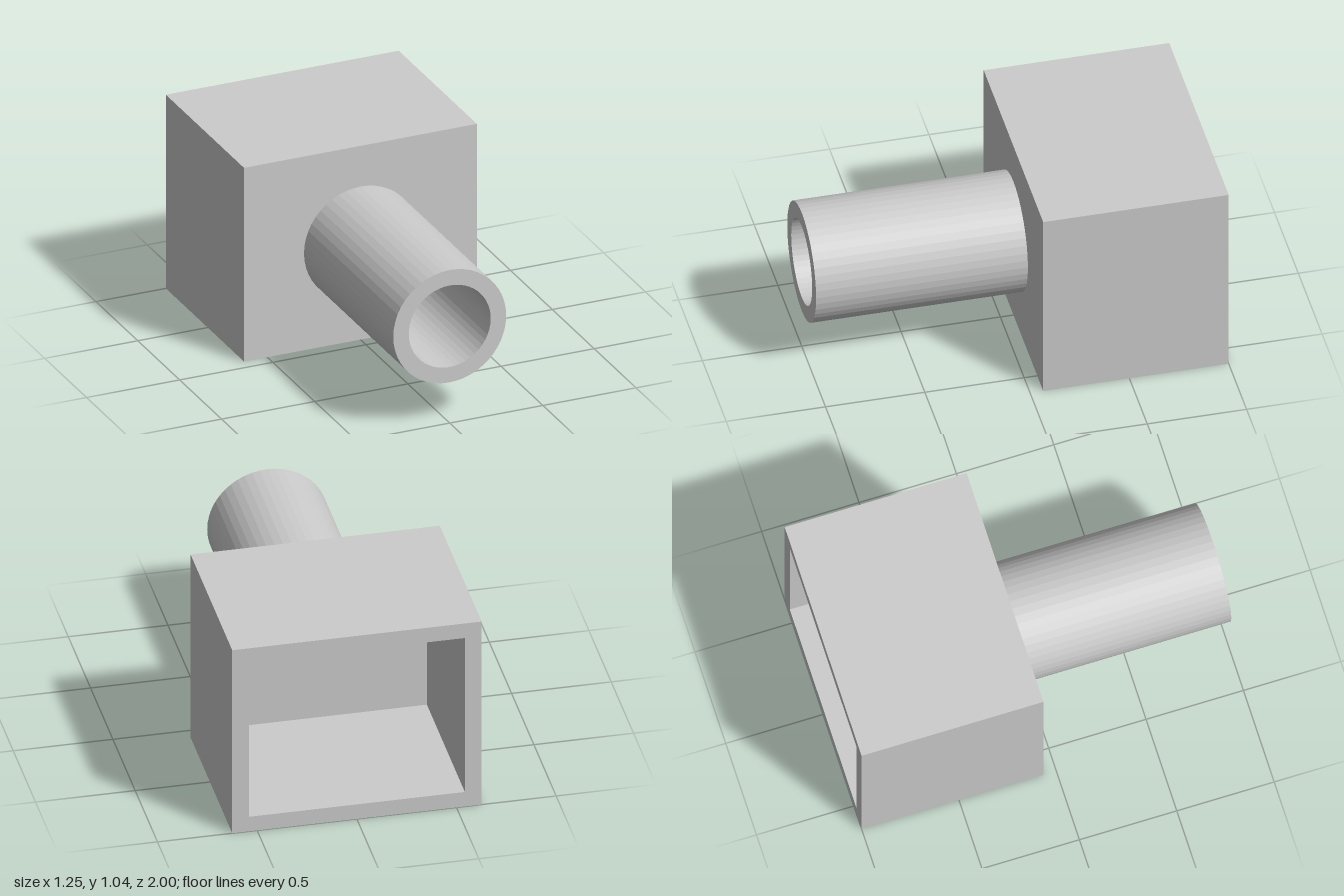
import * as THREE from 'three';

const WALL = 0.083;          // shared wall thickness
const W = 0.625, H = 0.5225; // half width and half height of the housing
const BACK = -1, FRONT = -0.066, TIP = 1;
const RADIUS = 0.303;

// Box open at the back: rectangles run along the outside, over the rim and into the cavity
function openBox() {
  const loops = [
    [W, H, FRONT], [W, H, BACK],
    [W - WALL, H - WALL, BACK], [W - WALL, H - WALL, FRONT - WALL],
  ];
  const positions = [], index = [];
  for (const [w, h, z] of loops) positions.push(w, h, z, -w, h, z, -w, -h, z, w, -h, z);
  const quad = (a, b, c, d) => index.push(a, b, c, a, c, d);
  quad(0, 1, 2, 3); // front face
  for (let i = 0; i < loops.length - 1; i++) {
    for (let k = 0; k < 4; k++) {
      const n = (k + 1) % 4, a = i * 4, b = a + 4;
      quad(a + k, b + k, b + n, a + n);
    }
  }
  quad(15, 14, 13, 12); // cavity floor
  const geometry = new THREE.BufferGeometry();
  geometry.setAttribute('position', new THREE.Float32BufferAttribute(positions, 3));
  geometry.setIndex(index);
  const flat = geometry.toNonIndexed();
  flat.computeVertexNormals();
  return flat;
}

// Hollow pipe: outer wall, end ring and bore
function pipe() {
  const inner = RADIUS - WALL;
  const profile = [[RADIUS, FRONT], [RADIUS, TIP], [inner, TIP], [inner, FRONT]]
    .map(([r, z]) => new THREE.Vector2(r, z));
  return new THREE.LatheGeometry(profile, 48).rotateX(Math.PI / 2);
}

export function createModel() {
  const group = new THREE.Group();
  const material = new THREE.MeshStandardMaterial({ color: 0xcccccc, flatShading: true });
  const add = (name, geometry) => {
    const mesh = new THREE.Mesh(geometry, material);
    mesh.name = name;
    mesh.position.y = H;
    group.add(mesh);
  };
  add('housing', openBox());
  add('pipe', pipe());
  return group;
}
